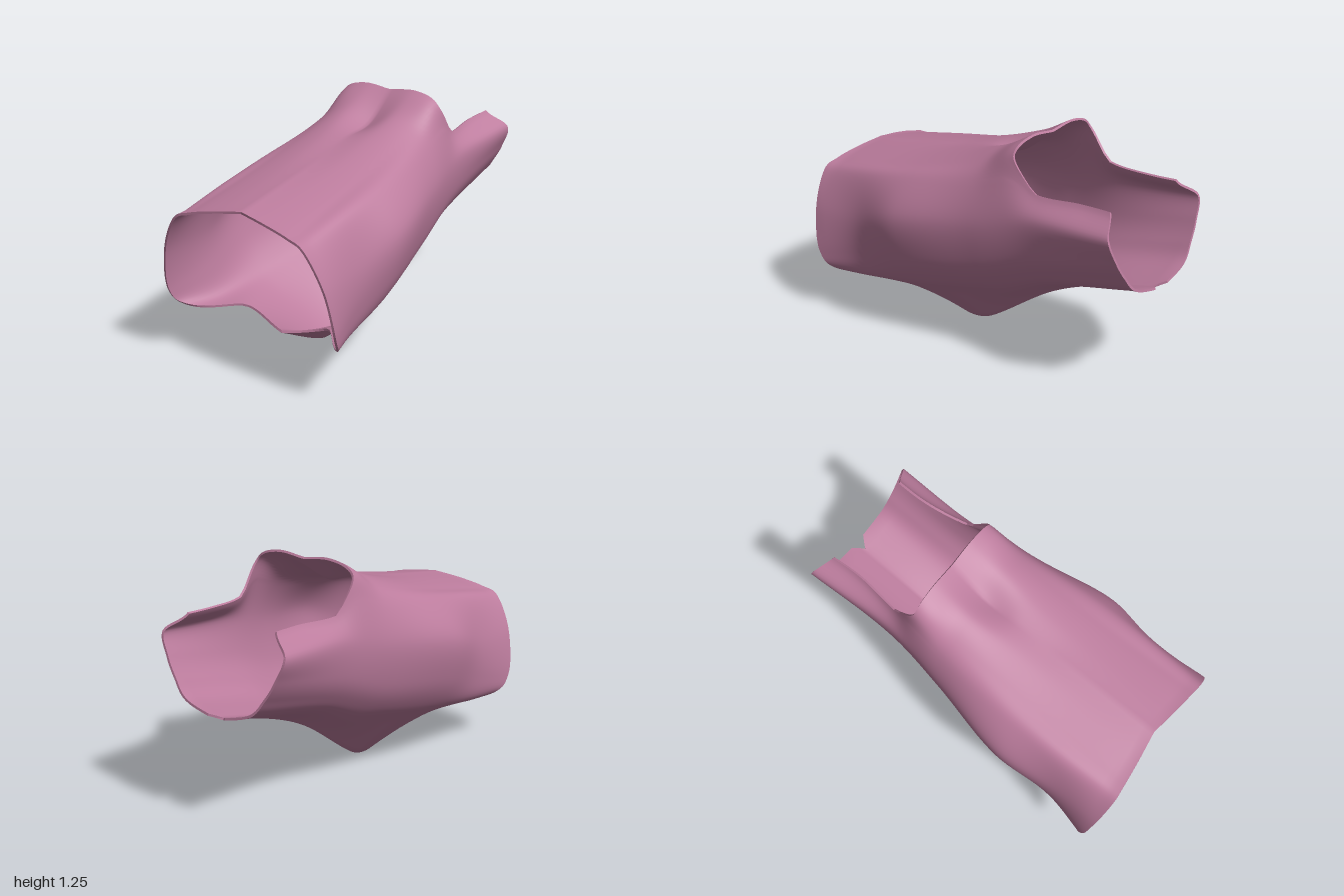
import * as THREE from 'three';
import { mergeVertices } from 'three/addons/utils/BufferGeometryUtils.js';

// Lengthwise guide rails of the +x half, back to front: [z, x, y], or [z, y] on the centre line
const KEEL = [[-1, .57], [-.6, .455], [-.3, .32], [.1, .045], [.22, 0], [.35, .01], [.68, .17]];
const HULL = [[-.97, .2, .625], [-.45, .2, .485], [-.1, .21, .33], [.35, .27, .225], [.68, .25, .23]];
const CHINE = [[-.97, .285, .72], [-.45, .29, .58], [-.1, .32, .44], [.35, .4, .335], [.68, .42, .265], [.95, .49, .26]];
const FLANK = [[-.97, .342, .82], [-.45, .345, .7], [-.1, .39, .58], [.35, .485, .5], [.68, .475, .42], [.95, .53, .36]];
const SIDE = [[-.97, .38, .94], [-.45, .365, .88], [-.1, .42, .8], [.35, .515, .73], [.68, .478, .63], [.95, .495, .61]];
const EDGE = [[-.97, .28, 1.035], [-.7, .27, 1.02], [-.45, .305, 1.01], [-.3, .338, 1.06], [-.1, .36, 1], [.35, .4, .92], [.95, .4, .8]];
const CORNER = [[-.45, .27, 1.18], [-.3, .29, 1.2], [-.1, .27, 1.1], [.35, .28, .97], [.95, .3, .847]];
const CROWN = [[-.3, .16, 1.245], [-.1, .14, 1.14], [.35, .14, 1], [.95, .15, .88]];
const RIDGE = [[-.3, 1.23], [-.1, 1.085], [.1, 1.06], [.35, 1.005], [.95, .902]];
const RAILS = [KEEL, HULL, CHINE, FLANK, SIDE, EDGE, CORNER, CROWN, RIDGE];

// Where the front and back rims cross each rail
const FRONT = [.68, .63, .84, .93, .975, 1, .995, .98, .96];
const BACK = [-1, -.99, -.975, -.962, -.94, -.87];

const THICKNESS = 0.012;
const TOP = RAILS.length - 1, FLAP = BACK.length - 1, STEPS = 8;

// Catmull-Rom through evenly spaced values, with straight ends
function spline(v, u) {
  const last = v.length - 1, i = Math.min(Math.floor(u), last - 1), t = u - i;
  const b = v[i], c = v[i + 1];
  const a = i > 0 ? v[i - 1] : 2 * b - c;
  const d = i + 2 <= last ? v[i + 2] : 2 * c - b;
  return b + 0.5 * t * (c - a + t * (2 * a - 5 * b + 4 * c - d + t * (3 * (b - c) + d - a)));
}

// Hermite curve along one rail, returning [x, y] at z
function railAt(rail, zWanted) {
  const n = rail.length;
  const z = Math.min(Math.max(zWanted, rail[0][0]), rail[n - 1][0]);
  let i = 0;
  while (i < n - 2 && z > rail[i + 1][0]) i++;
  const h = rail[i + 1][0] - rail[i][0], t = (z - rail[i][0]) / h, t2 = t * t, t3 = t2 * t;
  const curve = value => {
    const slope = k => {
      const a = rail[Math.max(k - 1, 0)], b = rail[Math.min(k + 1, n - 1)];
      return (value(b) - value(a)) / (b[0] - a[0]);
    };
    return value(rail[i]) * (2 * t3 - 3 * t2 + 1) + slope(i) * h * (t3 - 2 * t2 + t)
      + value(rail[i + 1]) * (3 * t2 - 2 * t3) + slope(i + 1) * h * (t3 - t2);
  };
  return [curve(p => (p.length > 2 ? p[1] : 0)), curve(p => p[p.length - 1])];
}

// u runs across the rails; negative u is the mirrored side
function surfacePoint(u, z) {
  const section = RAILS.map(rail => railAt(rail, z));
  const at = axis => spline(section.map(p => p[axis]), Math.abs(u));
  return [Math.sign(u) * at(0), at(1), z];
}

const frontRim = u => spline(FRONT, Math.abs(u));
// Back rim has a small notch at the keel
const backRim = u => spline(BACK, Math.abs(u)) + 0.055 * Math.max(0, 1 - 4 * Math.abs(u));

// Upper opening: rounded corner between the raised top edge and the side flaps
function bodyEnd(u) {
  const toCorner = Math.min(Math.max(FLAP + 1 - Math.abs(u), 0), 1);
  return -0.3 - 0.15 * Math.pow(toCorner, 2.4);
}

function addPatch(pos, index, uMax, rows, from, to) {
  const base = pos.length / 3, cols = 2 * uMax * STEPS;
  for (let j = 0; j <= cols; j++) {
    const u = j / STEPS - uMax, z0 = from(u), z1 = to(u);
    for (let r = 0; r <= rows; r++) pos.push(...surfacePoint(u, z0 + (z1 - z0) * r / rows));
  }
  for (let j = 0; j < cols; j++) {
    for (let r = 0; r < rows; r++) {
      const p = base + j * (rows + 1) + r, q = p + rows + 1;
      index.push(p, p + 1, q, q, p + 1, q + 1);
    }
  }
}

function makeGeometry(pos, index) {
  const g = new THREE.BufferGeometry();
  g.setAttribute('position', new THREE.Float32BufferAttribute(pos, 3));
  g.setIndex(index);
  return g;
}

export function createModel() {
  const group = new THREE.Group();
  group.name = 'shell';
  const mauve = new THREE.MeshStandardMaterial({ color: 0xbd7d9e, side: THREE.DoubleSide });
  mauve.name = 'mauve';
  const add = (name, geometry) => {
    geometry.computeVertexNormals();
    const mesh = new THREE.Mesh(geometry, mauve);
    mesh.name = name;
    group.add(mesh);
  };

  // Outer skin: closed tube in front, open trough with side flaps behind
  const pos = [], index = [];
  addPatch(pos, index, TOP, 40, frontRim, bodyEnd);
  addPatch(pos, index, FLAP, 16, bodyEnd, backRim);
  const outer = mergeVertices(makeGeometry(pos, index), 1e-5);
  add('outerSkin', outer);

  // Inner skin: offset inward, facing the other way
  const P = outer.attributes.position, N = outer.attributes.normal;
  const outerIndex = Array.from(outer.index.array);
  const outside = i => new THREE.Vector3().fromBufferAttribute(P, i).toArray();
  const inside = i => new THREE.Vector3().fromBufferAttribute(P, i)
    .addScaledVector(new THREE.Vector3().fromBufferAttribute(N, i), -THICKNESS).toArray();
  const innerPos = [];
  for (let i = 0; i < P.count; i++) innerPos.push(...inside(i));
  add('innerSkin', makeGeometry(innerPos, outerIndex.slice().reverse()));

  // Rim: joins both skins along every open edge
  const edges = new Map();
  for (let k = 0; k < outerIndex.length; k += 3) {
    for (let e = 0; e < 3; e++) {
      const a = outerIndex[k + e], b = outerIndex[k + (e + 1) % 3];
      edges.set(a + '_' + b, [a, b]);
    }
  }
  const rimPos = [];
  for (const [a, b] of edges.values()) {
    if (edges.has(b + '_' + a)) continue;
    rimPos.push(...outside(b), ...outside(a), ...inside(a), ...outside(b), ...inside(a), ...inside(b));
  }
  const rim = new THREE.BufferGeometry();
  rim.setAttribute('position', new THREE.Float32BufferAttribute(rimPos, 3));
  add('rim', rim);

  return group;
}
